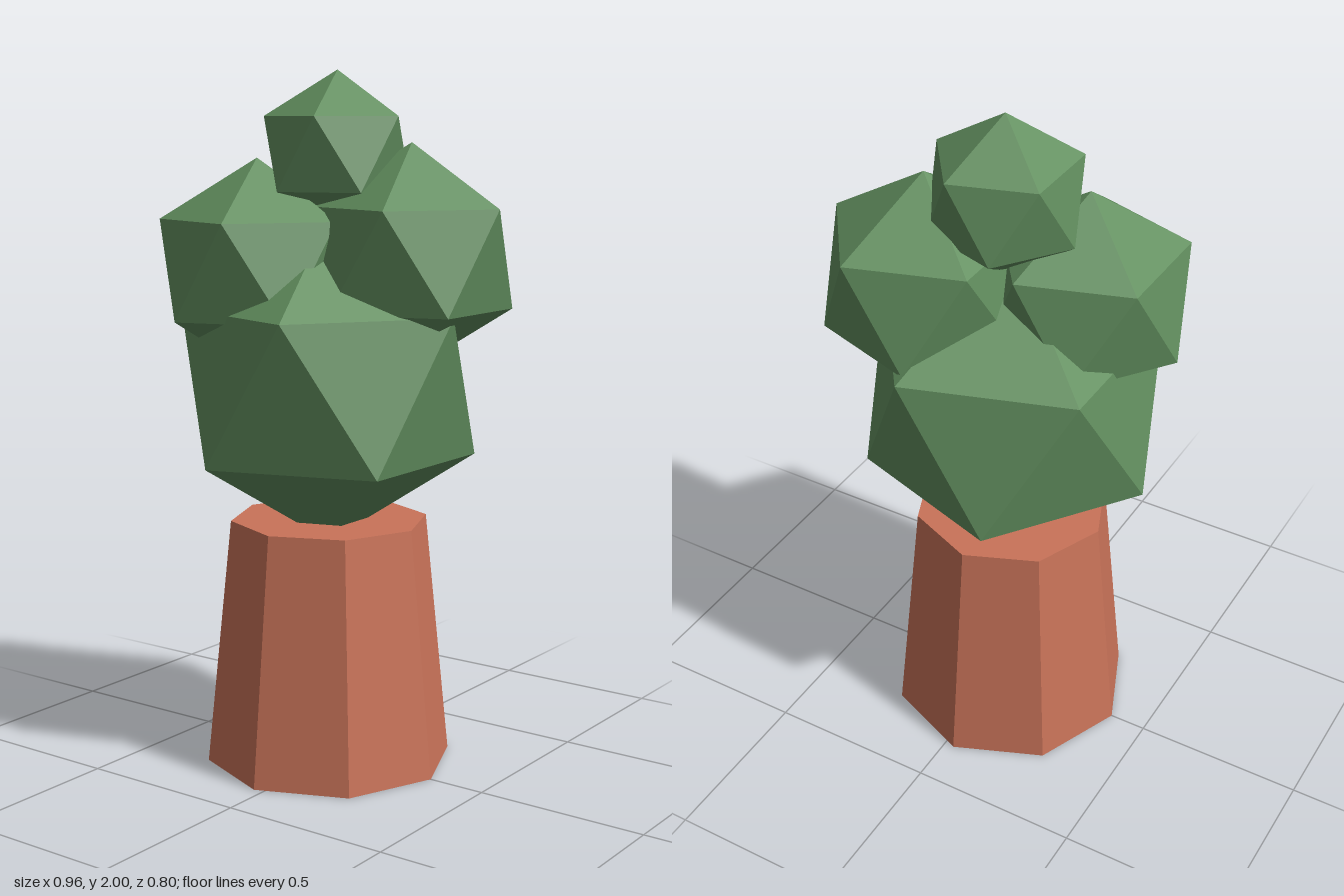
import * as THREE from 'three';

export function createModel() {
  const group = new THREE.Group();
  group.name = 'tree';
  const bark = new THREE.MeshStandardMaterial({ name: 'terracotta bark', color: 0xc97359, flatShading: true });
  const leaf = new THREE.MeshStandardMaterial({ name: 'leaf green', color: 0x628f5f, flatShading: true });

  // Tapered eight-sided trunk
  const trunk = new THREE.Mesh(new THREE.CylinderGeometry(0.287, 0.36, 0.72, 8), bark);
  trunk.name = 'trunk';
  trunk.position.set(-0.03, 0.36, 0);
  group.add(trunk);

  // Foliage clumps: icosahedra tilted to stand on a corner
  const tilt = -Math.atan(2 / (1 + Math.sqrt(5)));
  const clumps = [
    ['lowerFoliage', 0.47, -0.03, 1.12, 0],
    ['leftFoliage', 0.32, 0.19, 1.48, -0.09],
    ['rightFoliage', 0.31, -0.205, 1.446, 0.105],
    ['topFoliage', 0.232, -0.028, 1.768, -0.038],
  ];
  for (const [name, radius, x, y, z] of clumps) {
    const clump = new THREE.Mesh(new THREE.IcosahedronGeometry(radius, 0).rotateZ(tilt), leaf);
    clump.name = name;
    clump.position.set(x, y, z);
    group.add(clump);
  }
  return group;
}
